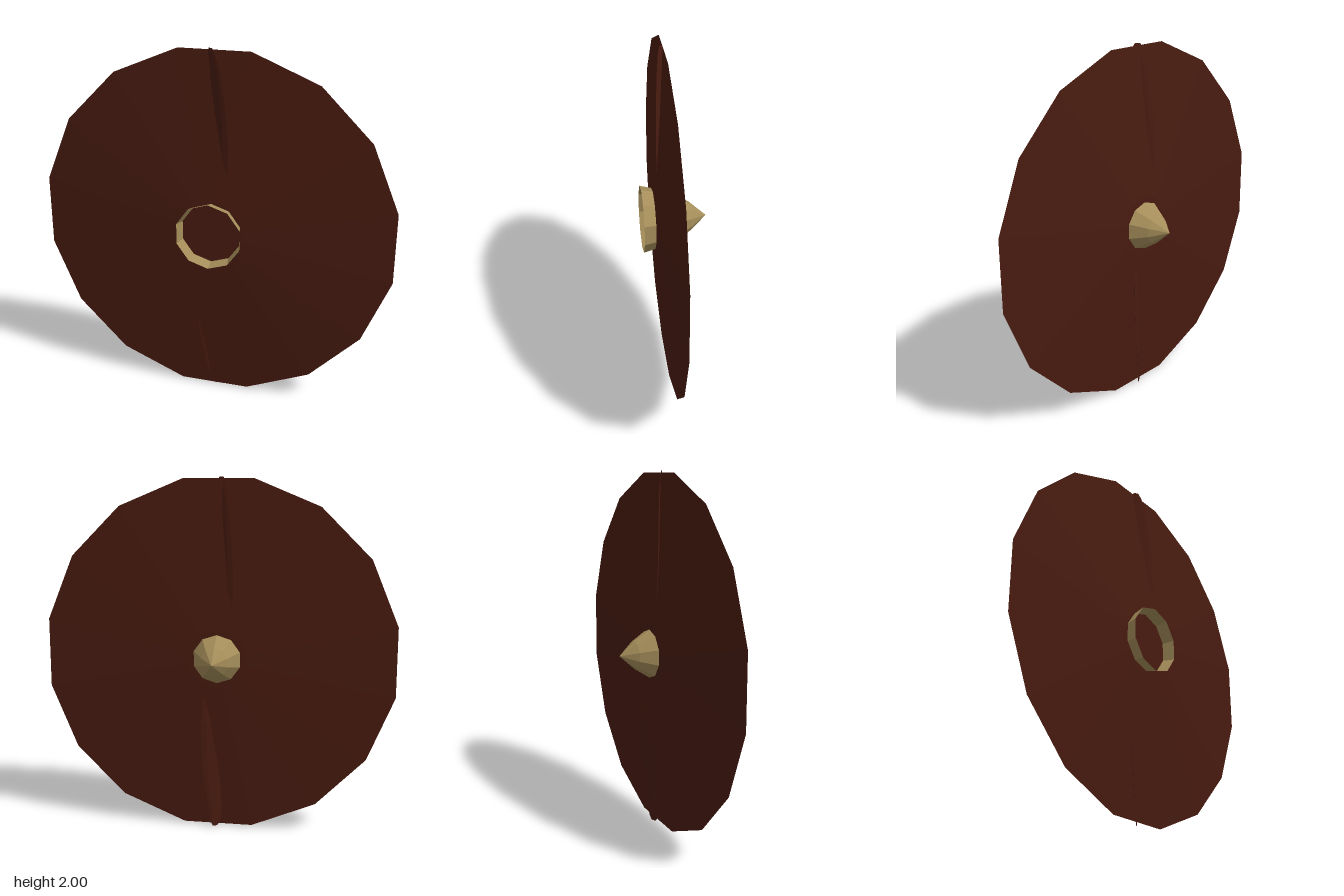
import * as THREE from 'three';

const brown = new THREE.MeshStandardMaterial({ color: 0x481b10, flatShading: true, side: THREE.DoubleSide });
const tan = new THREE.MeshStandardMaterial({ color: 0xa58e5a, flatShading: true, side: THREE.DoubleSide });

// Turn a [radius, z] profile around the z axis
function turned(name, profile, sides, start, material) {
  const points = profile.map(([r, z]) => new THREE.Vector2(r, z));
  const geometry = new THREE.LatheGeometry(points, sides, start);
  geometry.rotateX(Math.PI / 2);
  const mesh = new THREE.Mesh(geometry, material);
  mesh.name = name;
  return mesh;
}

// Blade stations: [distance from axis, middle x, half chord in x, half chord in z]
const stations = [
  [0.14, 0, 0.07, 0.04],
  [0.38, 0, 0.09, 0.048],
  [0.6, 0, 0.085, 0.044],
  [0.76, -0.002, 0.065, 0.037],
  [0.9, -0.006, 0.042, 0.026],
  [0.97, -0.012, 0.026, 0.017],
  [1.0, -0.016, 0.012, 0.008],
];

// Pitched, tapering blade; lean shifts its tip along z
function bladeGeometry(lean) {
  const last = stations.length - 1;
  const geometry = new THREE.CylinderGeometry(1, 1, 1, 8, last);
  const p = geometry.attributes.position;
  for (let i = 0; i < p.count; i++) {
    const [r, mid, cx, cz] = stations[Math.round((p.getY(i) + 0.5) * last)];
    const u = p.getX(i), v = p.getZ(i) * 0.12;
    p.setXYZ(i, mid + u * cx - v * cz, r, 0.05 + lean * r + u * cz + v * cx);
  }
  geometry.computeVertexNormals();
  return geometry;
}

export function createModel() {
  const model = new THREE.Group();
  model.name = 'propeller';

  const rotor = new THREE.Group();
  rotor.name = 'rotor';
  rotor.position.y = 1;
  model.add(rotor);

  // Sixteen-sided disc swept by the blades, thickest at the hub
  rotor.add(turned('sweptDisc', [[0, 0], [0.17, 0], [1.01, 0.053], [0.18, 0.115], [0, 0.115]],
    16, Math.PI / 16, brown));

  // Pointed hub, open at the front
  rotor.add(turned('spinner', [[0, -0.18], [0.08, -0.09], [0.137, 0], [0.167, 0.1], [0.187, 0.18]],
    10, 0, tan));

  // Two opposite blades
  for (const [name, turn, lean] of [['upperBlade', 0, 0.015], ['lowerBlade', Math.PI, -0.015]]) {
    const blade = new THREE.Mesh(bladeGeometry(lean), brown);
    blade.name = name;
    blade.rotation.z = turn;
    rotor.add(blade);
  }
  return model;
}
